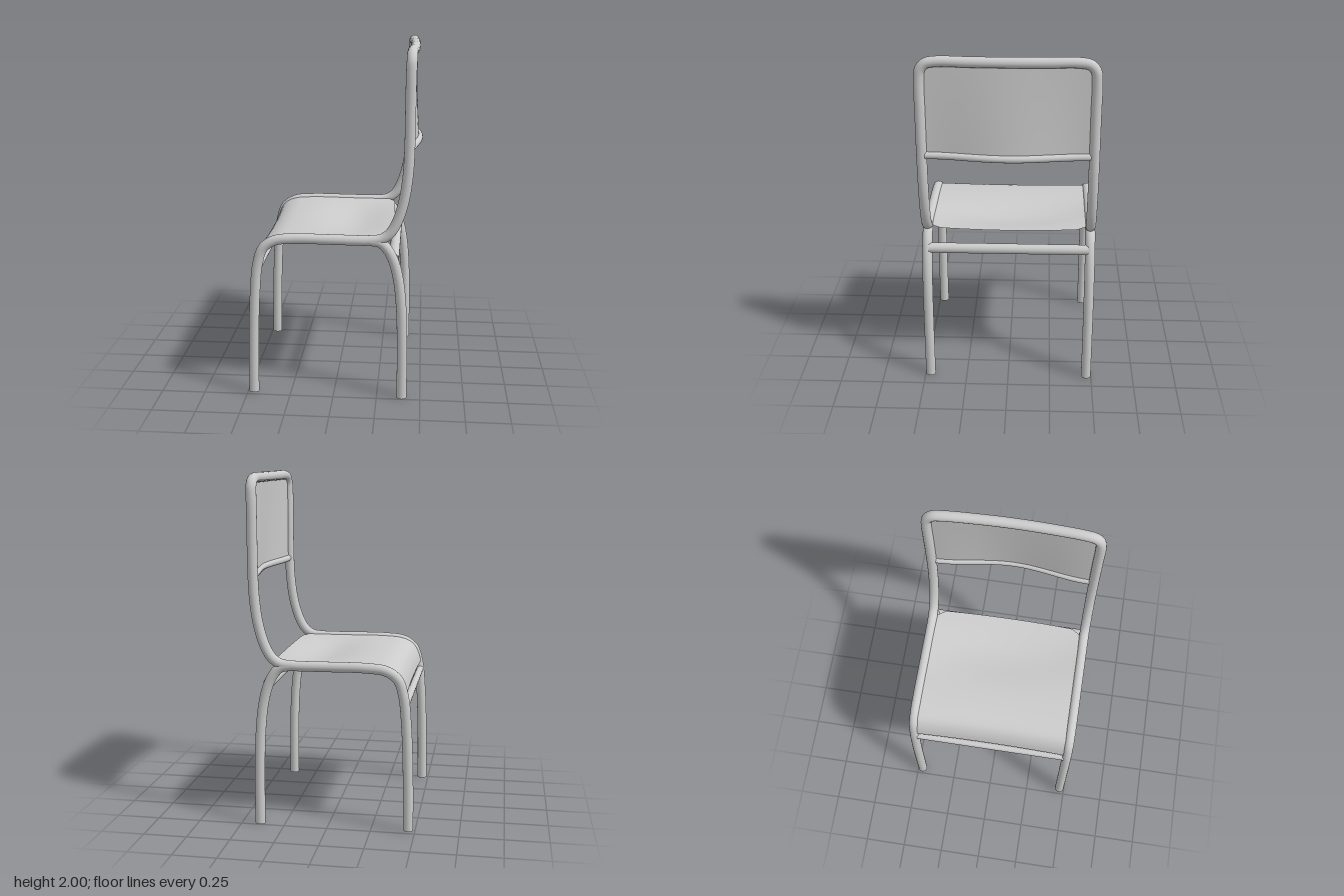
import * as THREE from 'three';

const metal = new THREE.MeshStandardMaterial({ color: 0xcccccc });
const sheet = new THREE.MeshStandardMaterial({ color: 0xcccccc, side: THREE.DoubleSide });
const HALF = 0.47; // distance of each side frame from the centre line
const R = 0.029;

const curveOf = (pts) => new THREE.CatmullRomCurve3(pts.map((p) => new THREE.Vector3(...p)), false, 'centripetal');

// Round tube along a path, with flat end caps
function tube(name, pts, radius, segments) {
  const group = new THREE.Group();
  group.name = name;
  const curve = curveOf(pts);
  group.add(new THREE.Mesh(new THREE.TubeGeometry(curve, segments, radius, 20), metal));
  for (const t of [0, 1]) {
    const cap = new THREE.Mesh(new THREE.CircleGeometry(radius, 20), metal);
    const outward = curve.getTangentAt(t).multiplyScalar(t ? 1 : -1);
    cap.position.copy(curve.getPointAt(t));
    cap.quaternion.setFromUnitVectors(new THREE.Vector3(0, 0, 1), outward);
    group.add(cap);
  }
  return group;
}

// Curved sheet: fn(u, v) with u, v in 0..1 returns [x, y, z]
function panel(name, nu, nv, fn) {
  const geo = new THREE.PlaneGeometry(1, 1, nu, nv);
  const pos = geo.attributes.position;
  for (let i = 0; i < pos.count; i++) {
    pos.setXYZ(i, ...fn(pos.getX(i) + 0.5, pos.getY(i) + 0.5));
  }
  geo.computeVertexNormals();
  const mesh = new THREE.Mesh(geo, sheet);
  mesh.name = name;
  return mesh;
}

export function createModel() {
  const chair = new THREE.Group();
  chair.name = 'chair';

  // One bent tube: front leg, seat rail, back post, top rail and down the other side
  const side = [
    [-0.463, 0.01], [-0.459, 0.3], [-0.447, 0.6], [-0.427, 0.79], [-0.395, 0.88],
    [-0.33, 0.925], [-0.22, 0.938], [0, 0.938], [0.2, 0.938], [0.27, 0.948],
    [0.315, 0.98], [0.355, 1.05], [0.39, 1.17], [0.41, 1.32], [0.416, 1.47],
    [0.417, 1.7], [0.418, 1.87],
  ];
  const sideAt = (z) => side.map(([x, y]) => [x, y, z]);
  const topRail = [
    [0.42, 1.925, 0.462], [0.421, 1.957, 0.435], [0.423, 1.969, 0.38], [0.432, 1.97, 0.2],
    [0.436, 1.97, 0],
  ];
  const mirrored = topRail.slice(0, -1).reverse().map(([x, y, z]) => [x, y, -z]);
  chair.add(tube('mainFrame',
    [...sideAt(HALF), ...topRail, ...mirrored, ...sideAt(-HALF).reverse()], R, 320));

  // Rear legs branching off the seat rails
  const leg = [
    [0.2, 0.938], [0.265, 0.925], [0.305, 0.885], [0.338, 0.82], [0.366, 0.71],
    [0.384, 0.55], [0.393, 0.3], [0.394, 0],
  ];
  for (const s of [1, -1]) {
    chair.add(tube(s > 0 ? 'leftRearLeg' : 'rightRearLeg', leg.map(([x, y]) => [x, y, s * HALF]), R, 60));
  }

  // Straight braces between the legs
  chair.add(tube('rearBrace', [[0.338, 0.83, -0.46], [0.338, 0.83, 0.46]], 0.03, 1));
  chair.add(tube('frontBrace', [[-0.44, 0.74, -HALF], [-0.44, 0.74, HALF]], 0.021, 1));

  // Lower backrest rail, bowed backwards
  const bow = (z) => 0.5 + 0.5 * Math.cos((Math.PI * z) / 0.46);
  const railPts = [];
  for (let i = -6; i <= 6; i++) {
    const z = (i / 6) * 0.45;
    railPts.push([0.42 + 0.047 * bow(z), 1.44, z]);
  }
  chair.add(tube('lowerBackRail', railPts, 0.02, 48));

  // Backrest sheet, bowed more at its lower edge
  chair.add(panel('backrest', 32, 12, (u, v) => {
    const z = 0.45 * (1 - 2 * u);
    return [0.418 + (0.045 - 0.027 * v) * bow(z), 1.44 + 0.525 * v, z];
  }));

  // Seat sheet: shallow dish with a rolled front edge and clipped rear corners
  const profile = curveOf([
    [-0.445, 0.795, 0], [-0.428, 0.855, 0], [-0.392, 0.91, 0], [-0.33, 0.94, 0],
    [-0.22, 0.951, 0], [0, 0.951, 0], [0.2, 0.95, 0], [0.328, 0.95, 0],
  ]);
  chair.add(panel('seat', 48, 32, (u, v) => {
    const w = 1 - 2 * v;
    const p = profile.getPointAt(u);
    const arch = 1 - w * w;
    const dip = 0.04 * arch * Math.exp(-(((p.x - 0.1) / 0.17) ** 2));
    const clip = 0.015 * w * w + 0.035 * Math.max(0, (Math.abs(w) - 0.87) / 0.13);
    const rear = THREE.MathUtils.smoothstep(p.x, 0, 0.328);
    const front = 1 - THREE.MathUtils.smoothstep(p.x, -0.445, -0.2);
    return [p.x - clip * rear + 0.01 * arch * front, p.y - dip - 0.005 * arch * front, w * 0.45];
  }));

  return chair;
}
